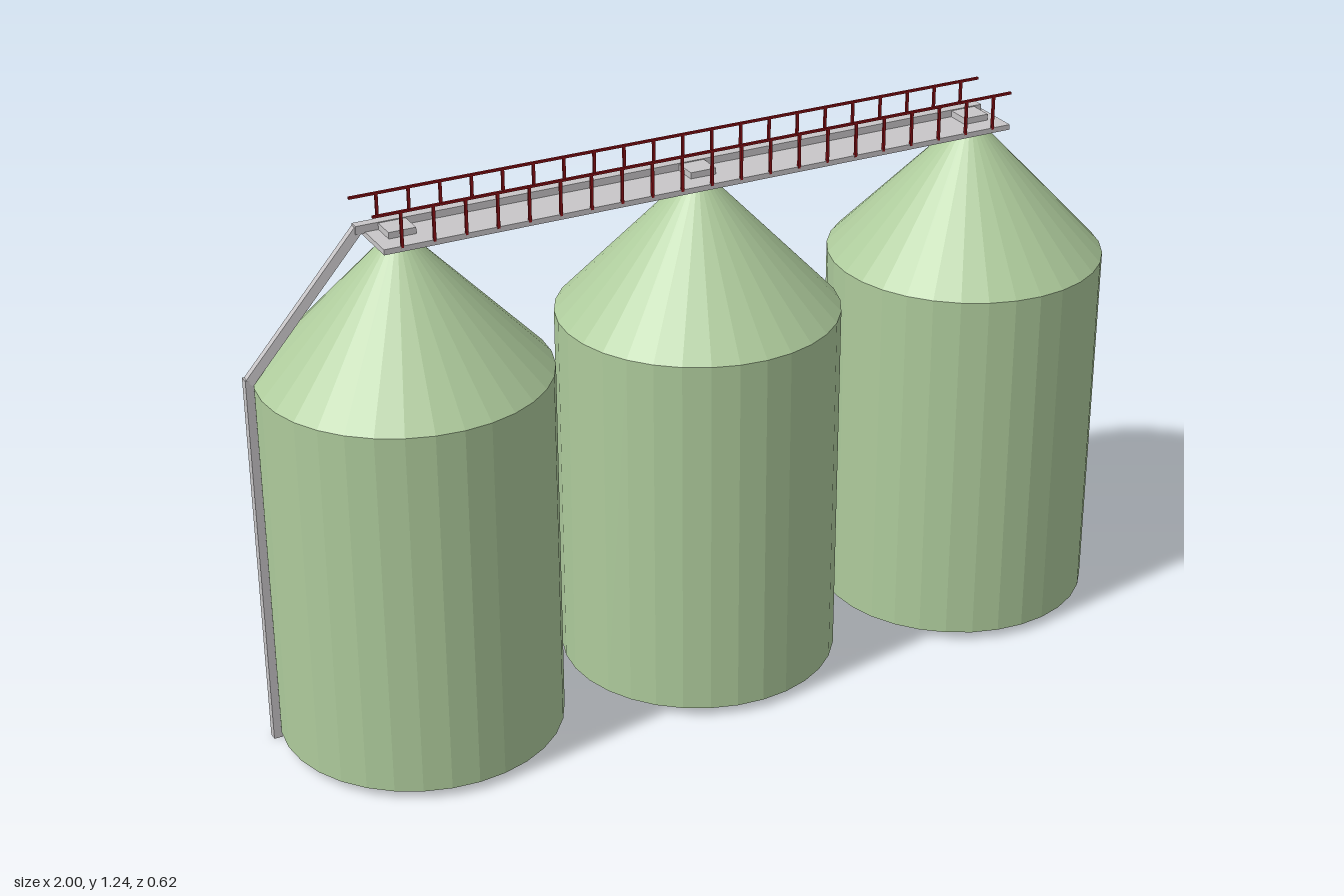
import * as THREE from 'three';

export function createModel() {
  const model = new THREE.Group();
  model.name = 'siloRow';

  const mat = (name, color, flat) => {
    const m = new THREE.MeshStandardMaterial({ color, flatShading: flat });
    m.name = name;
    return m;
  };
  const green = mat('paleGreen', 0xaecb9c, true);
  const grey = mat('lightGrey', 0xc8c6c8, true);
  const red = mat('darkRed', 0x8a1016, true);

  const add = (parent, name, geometry, material, x, y, z) => {
    const mesh = new THREE.Mesh(geometry, material);
    mesh.name = name;
    mesh.position.set(x, y, z);
    parent.add(mesh);
    return mesh;
  };
  // Box given by its limits on each axis
  const box = (parent, name, material, x0, x1, y0, y1, z0, z1) =>
    add(parent, name, new THREE.BoxGeometry(x1 - x0, y1 - y0, z1 - z0), material,
      (x0 + x1) / 2, (y0 + y1) / 2, (z0 + z1) / 2);
  // Square duct between two points
  const duct = (parent, name, a, b, size) => {
    const mesh = add(parent, name, new THREE.BoxGeometry(size, size, a.distanceTo(b)), grey, 0, 0, 0);
    mesh.position.copy(a).add(b).multiplyScalar(0.5);
    mesh.lookAt(b);
  };

  // Silos: body and conical roof, with an inlet hatch above each
  const R = 0.312, SIDES = 32, BASE = 0.02, EAVE = 0.855, TOP = 1.155;
  for (const x of [-0.681, 0.003, 0.687]) {
    const silo = new THREE.Group();
    silo.name = 'silo';
    silo.position.x = x;
    model.add(silo);
    add(silo, 'siloBody', new THREE.CylinderGeometry(R, R, EAVE - BASE, SIDES), green, 0, (EAVE + BASE) / 2, 0);
    add(silo, 'siloRoof', new THREE.CylinderGeometry(0.025, R, TOP - EAVE, SIDES, 1, true), green, 0, (TOP + EAVE) / 2, 0);
    box(silo, 'inletHatch', grey, -0.03, 0.03, 1.16, 1.178, -0.032, 0.026);
  }

  // Walkway deck and the conveyor lying on it
  box(model, 'walkwayDeck', grey, -0.74, 0.745, 1.152, 1.164, -0.064, 0.072);
  box(model, 'conveyor', grey, -0.76, 0.735, 1.162, 1.18, -0.05, -0.029);

  // Handrails on both sides
  for (const [z, top] of [[0.07, 1.24], [-0.062, 1.232]]) {
    const rail = new THREE.Group();
    rail.name = 'handrail';
    model.add(rail);
    box(rail, 'topRail', red, -0.76, 0.745, top - 0.005, top, z - 0.003, z + 0.003);
    for (let i = 0; i <= 20; i++) {
      const x = -0.7 + i * 0.07;
      box(rail, 'railPost', red, x - 0.003, x + 0.003, 1.16, top - 0.003, z - 0.0025, z + 0.0025);
    }
  }

  // Feed duct: up the side of the end silo and along its roof
  const eave = new THREE.Vector3(-0.99, 0.86, -0.085);
  duct(model, 'slopingDuct', eave, new THREE.Vector3(-0.752, 1.17, -0.041), 0.02);
  box(model, 'uprightDuct', grey, -1, -0.98, 0, 0.868, -0.095, -0.075);

  return model;
}
